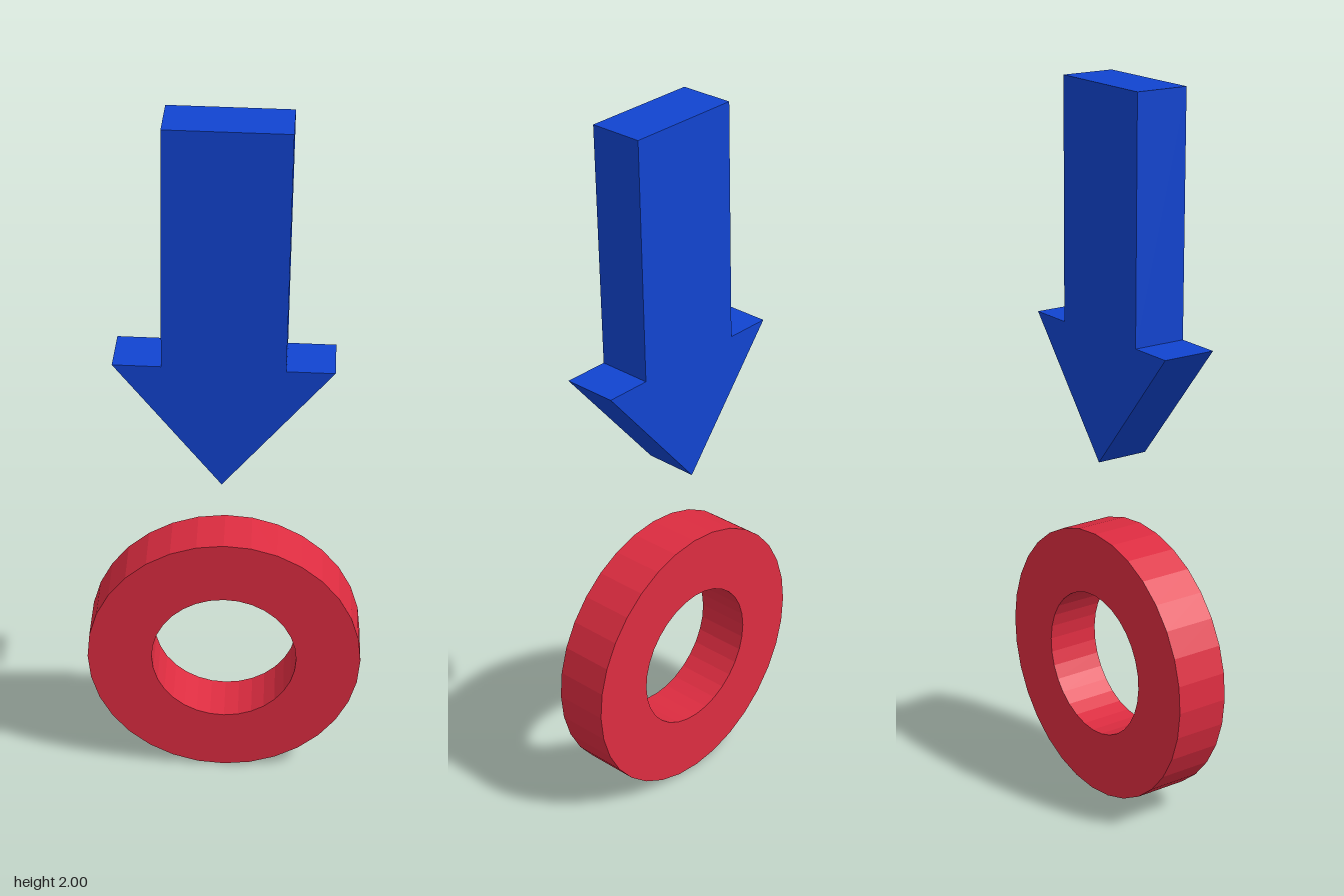
import * as THREE from 'three';

const DEPTH = 0.153;

// Extrudes an outline to a slab centred on its own z = 0
function slab(name, shape, color, curveSegments) {
  const geometry = new THREE.ExtrudeGeometry(shape, { depth: DEPTH, bevelEnabled: false, curveSegments });
  geometry.translate(0, 0, -DEPTH / 2);
  const mesh = new THREE.Mesh(geometry, new THREE.MeshStandardMaterial({ color, flatShading: true }));
  mesh.name = name;
  return mesh;
}

export function createModel() {
  const group = new THREE.Group();
  group.name = 'arrowAndRing';

  // Arrow pointing down, origin at the middle of the head's base
  const shaft = 0.1625, head = 0.29, length = 0.662, tip = 0.355;
  const outline = [
    [-shaft, length], [-shaft, 0], [-head, 0], [0, -tip], [head, 0], [shaft, 0], [shaft, length],
  ].map(([x, y]) => new THREE.Vector2(x, y));
  const arrow = slab('arrow', new THREE.Shape(outline), 0x1144d0, 1);
  arrow.position.set(0.0025, 1.335, 0.011);
  arrow.rotation.set(0.0165, -0.003, -0.015);
  group.add(arrow);

  // Flat faceted ring below the arrow, leaning slightly
  const disc = new THREE.Shape().absarc(0, 0, 0.385, 0, Math.PI * 2, false);
  disc.holes.push(new THREE.Path().absarc(0, 0, 0.204, 0, Math.PI * 2, true));
  const ring = slab('ring', disc, 0xdc2c40, 16);
  ring.position.set(0, 0.389, -0.0145);
  ring.rotation.set(0.02, 0.019, 0);
  group.add(ring);

  return group;
}
